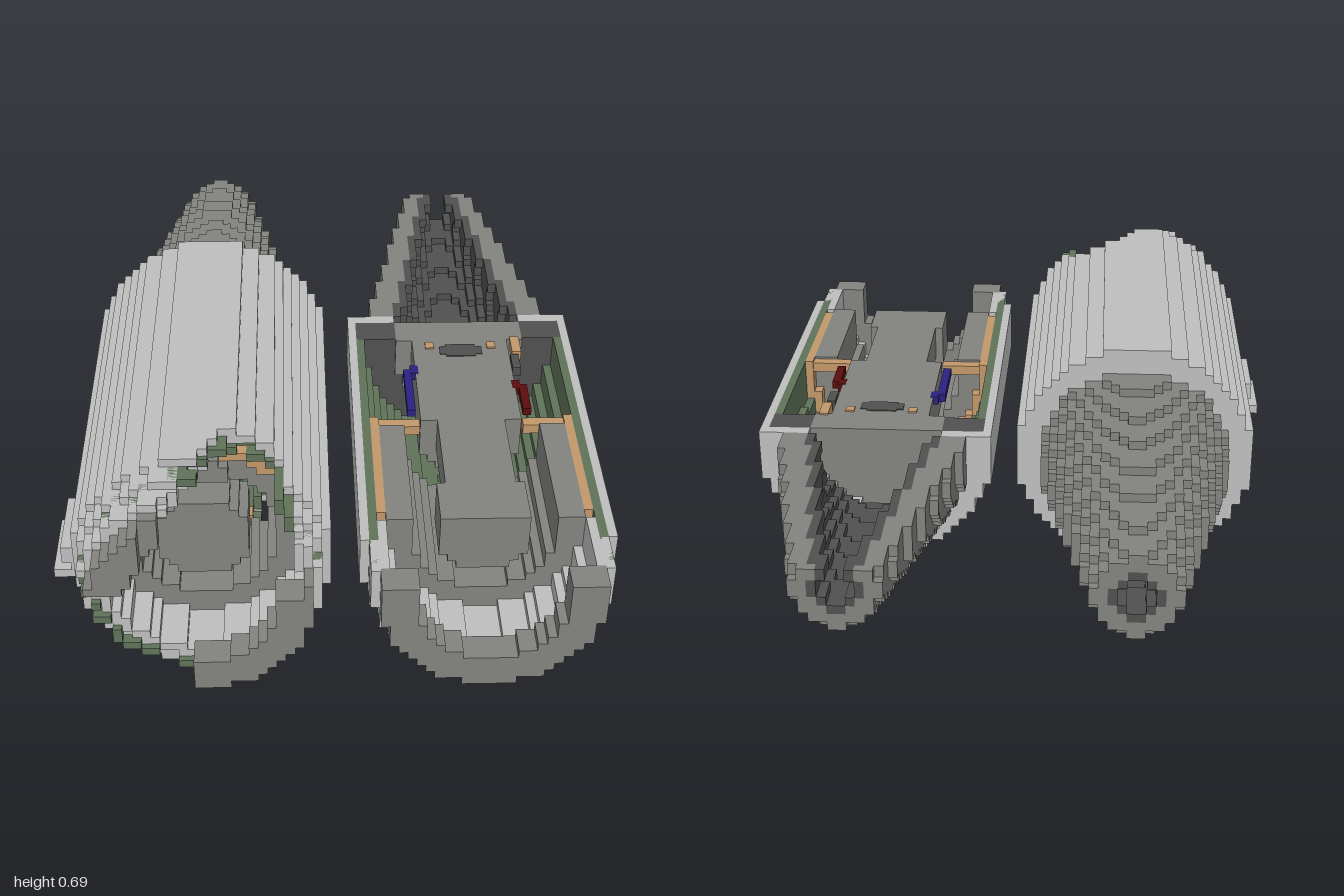
import * as THREE from 'three';
import { mergeGeometries } from 'three/addons/utils/BufferGeometryUtils.js';

const V = 0.0245, CY = 0.343, CUT = 0.057;
const mat = (name, color) => {
  const m = new THREE.MeshStandardMaterial({ color });
  m.name = name;
  return m;
};
const M = {
  light: mat('light grey', 0xbebebe), grey: mat('mid grey', 0x82827f), dark: mat('dark grey', 0x505050),
  green: mat('green', 0x5f7259), orange: mat('orange', 0xc2986a), blue: mat('blue', 0x2b2180), red: mat('dark red', 0x5c0d0d),
};

function box(x0, x1, y0, y1, z0, z1) {
  const g = new THREE.BoxGeometry(x1 - x0, y1 - y0, z1 - z0);
  g.translate((x0 + x1) / 2, (y0 + y1) / 2, (z0 + z1) / 2);
  return g;
}

// repeatable noise for ragged edges
const hash = (i, j, k) => {
  const s = Math.sin(i * 12.99 + j * 78.23 + k * 37.7) * 43758.5;
  return s - Math.floor(s);
};

// rows of blocks covering every grid cell that passes the test
function slab(out, test, z0, z1, cut) {
  const top = cut ? 2 : 14;
  for (let j = -14; j < top; j++) {
    const y0 = j * V, y1 = cut && j === 1 ? CUT : y0 + V;
    let start = null;
    for (let i = -14; i <= 14; i++) {
      const on = i < 14 && test((i + 0.5) * V, (j + 0.5) * V);
      if (on && start === null) start = i;
      if (!on && start !== null) {
        out.push(box(start * V, i * V, y0, y1, z0, z1));
        start = null;
      }
    }
  }
}

// torn openings of the damaged engine; a larger margin m leaves inner layers sticking out
function torn(x, y, z, m) {
  const t = (z - 0.68) / 0.32;
  if (z > 0.68 + m && y > 0.03 && x > 0.07 - 0.22 * t + m && x < 0.2 + 0.08 * t - m) return true;
  if (z > 0.87 + m && x < -0.02 && y < 0.04) return true;
  const a = Math.atan2(y, x);
  return ((z - 0.36) / 0.17) ** 2 + ((a + 0.75) / 0.48) ** 2 < 1 - m * 12;
}

function createEngine(cut) {
  const engine = new THREE.Group();
  const add = (name, material, geos) => {
    if (!geos.length) return;
    const mesh = new THREE.Mesh(mergeGeometries(geos), material);
    mesh.name = name;
    engine.add(mesh);
  };
  // stepped rings: [outer radius, inner radius, back z, front z]
  const rings = (name, material, list, margin = null, ragged = 0) => {
    const out = [];
    for (const [ro, ri, z0, z1] of list) {
      const inRing = (x, y) => { const r = Math.hypot(x, y); return r < ro && r >= ri; };
      if (cut || margin === null) { slab(out, inRing, z0, z1, cut); continue; }
      const n = Math.max(1, Math.round((z1 - z0) / 0.04)), d = (z1 - z0) / n;
      for (let k = 0; k < n; k++) {
        const z = z0 + (k + 0.5) * d;
        slab(out, (x, y) => inRing(x, y) && !torn(x, y, z, margin) &&
          !(ragged && torn(x, y, z, 0) && hash(x, y, z) < ragged), z0 + k * d, z0 + (k + 1) * d, cut);
      }
    }
    add(name, material, out);
  };

  // outer shell and intake
  rings('rearCowl', M.light, [[0.345, 0.315, -0.235, 0.16]]);
  rings('frontCowl', M.light, [[0.345, 0.315, 0.16, 0.81], [0.33, 0.29, 0.81, 0.87], [0.313, 0.285, 0.87, 0.93]], 0);
  rings('intakeDuct', M.light, [[0.292, 0.262, 0.73, 0.92]], 0);
  rings('intakeLip', M.grey, [[0.292, 0.2, 0.92, 1]], 0);
  rings('rearBulkhead', M.light, [[0.345, 0.19, -0.235, -0.2]]);

  // inner lining layers
  rings('rearLining', M.green, [[0.316, 0.288, -0.11, 0.16]]);
  rings('frontLining', M.green, [[0.316, 0.29, 0.16, 0.9]], 0.035, 0.35);
  rings('insulation', M.orange, [[0.29, 0.262, 0.28, 0.7]], 0.03, 0.4);
  rings('rearCollar', M.dark, [[0.316, 0.2, -0.2, -0.11]]);
  rings('fanDuct', M.grey, [[0.264, 0.2, 0.32, 0.73]], 0.02);

  // machinery on the axis
  rings('core', M.grey, [[0.2, 0, -0.2, -0.1], [0.155, 0, -0.1, 0.3], [0.1, 0, 0.3, 0.58], [0.135, 0, 0.58, 0.73]]);

  // tapering exhaust with a dark lining
  const wall = [], lining = [], steps = 30;
  for (let k = 0; k < steps; k++) {
    const t = (k + 0.5) / steps, d = 0.765 / steps;
    const ro = 0.282 - 0.172 * t, ri = 0.2 - 0.135 * t;
    const z1 = -0.235 - k * d, z0 = z1 - d;
    slab(wall, (x, y) => { const r = Math.hypot(x, y); return r < ro && r >= ri; }, z0, z1, cut);
    slab(lining, (x, y) => { const r = Math.hypot(x, y); return r < ri && r >= ri - 0.027; }, z0, z1, cut);
  }
  add('exhaustCone', M.grey, wall);
  add('exhaustLining', M.dark, lining);

  // coloured pipes stepping over the core
  for (const [side, name, material, z0] of [[-1, 'bluePipe', M.blue, 0.05], [1, 'redPipe', M.red, 0.13]]) {
    const out = [];
    for (let k = 0; k < (cut ? 1 : 5); k++) {
      const x = side * (0.17 - k * V), y = (cut ? 0.045 : 0.068) + k * V;
      out.push(box(x - V / 2, x + V / 2, y - V / 2, y + V / 2, z0, 0.25));
    }
    if (cut) {
      const x = side * 0.15;
      out.push(box(x - V / 2, x + V / 2, 0.033, 0.058, z0 - 0.02, z0 + 0.02));
    }
    add(name, material, out);
  }

  if (cut) {
    // brackets, fittings and a port on the exposed section
    const brackets = [], fittings = [];
    for (const s of [-1, 1]) {
      const a = [s * 0.15, s * 0.27].sort((p, q) => p - q);
      brackets.push(box(a[0], a[1], 0.02, 0.05, 0.285, 0.32));
      fittings.push(box(s * 0.095 - 0.013, s * 0.095 + 0.013, 0.04, 0.062, -0.085, -0.055));
    }
    fittings.push(box(0.157, 0.185, 0.03, 0.062, -0.11, -0.03));
    add('brackets', M.orange, brackets);
    add('fittings', M.orange, fittings);
    add('topPort', M.dark, [box(-0.065, 0.065, 0.05, 0.06, -0.065, -0.025), box(-0.045, 0.045, 0.05, 0.06, -0.075, -0.015),
      box(0.15, 0.175, 0.03, 0.06, -0.02, 0.05)]);
  } else {
    // bent flap on the outer side
    add('looseFlap', M.light, [
      box(-0.425, -0.3, -0.183, -0.155, 0.47, 0.68),
      box(-0.375, -0.3, -0.155, -0.13, 0.47, 0.68),
      box(-0.4, -0.3, -0.13, -0.075, 0.47, 0.68),
    ]);
  }
  return engine;
}

export function createModel() {
  const model = new THREE.Group();
  model.name = 'enginePair';
  for (const [name, x, cut] of [['wholeEngine', -0.343, false], ['cutawayEngine', 0.42, true]]) {
    const e = createEngine(cut);
    e.name = name;
    e.position.set(x, CY, 0);
    model.add(e);
  }
  return model;
}
